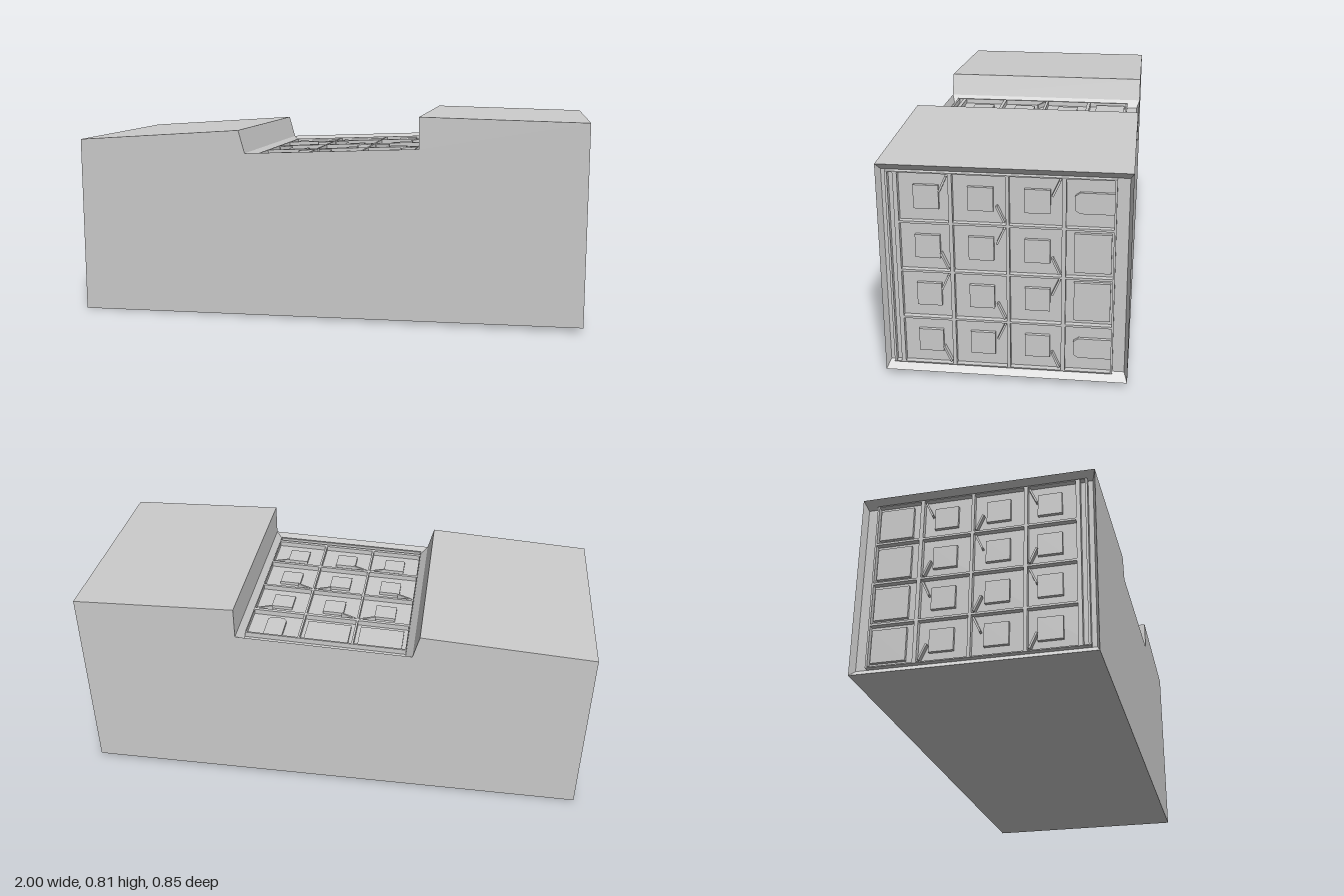
import * as THREE from 'three';

const HALF = 0.425;   // half depth along z
const SINK = 0.03;    // how far the room panels sit below their rims
const grey = new THREE.MeshStandardMaterial({ color: 0xcccccc });
grey.name = 'plain grey';

function add(group, name, geometry) {
  const mesh = new THREE.Mesh(geometry, grey);
  mesh.name = name;
  group.add(mesh);
  return mesh;
}

// Flat quads, corners counter-clockwise seen from outside
function quads(list) {
  const pos = [];
  for (const [a, b, c, d] of list) pos.push(...a, ...b, ...c, ...a, ...c, ...d);
  const g = new THREE.BufferGeometry();
  g.setAttribute('position', new THREE.Float32BufferAttribute(pos, 3));
  g.computeVertexNormals();
  return g;
}

function rect(x0, y0, x1, y1, Type = THREE.Shape) {
  return new Type([[x0, y0], [x1, y0], [x1, y1], [x0, y1]].map(p => new THREE.Vector2(...p)));
}

const extrude = (shape, depth) => new THREE.ExtrudeGeometry(shape, { depth, bevelEnabled: false });

// Outline seen from the front, counter-clockwise
const outline = [
  [-1, 0], [1, 0.017], [1, 0.79], [0.37, 0.805],
  [0.37, 0.683], [-0.315, 0.655], [-0.34, 0.745], [-1, 0.70],
];

// Room rows across the depth, from front to back
const rows = [[0.185, 0.355], [-0.007, 0.172], [-0.193, -0.018], [-0.365, -0.207]];

// Sunken panel of rooms: local x follows the outline, y is world z, z points outward
function roomPanel(name, p, q, count, isTab) {
  const panel = new THREE.Group();
  panel.name = name;
  const dir = new THREE.Vector3(q[0] - p[0], q[1] - p[1], 0);
  const L = dir.length();
  dir.normalize();
  const normal = new THREE.Vector3(dir.y, -dir.x, 0);
  panel.quaternion.setFromRotationMatrix(
    new THREE.Matrix4().makeBasis(dir, new THREE.Vector3(0, 0, 1), normal));
  panel.position.set(p[0], p[1], 0);

  // Sloping rim and floor
  const ix = 0.027, iy = HALF - 0.012;
  const outer = [[0, -HALF, 0], [L, -HALF, 0], [L, HALF, 0], [0, HALF, 0]];
  const inner = [[ix, -iy, -SINK], [L - ix, -iy, -SINK], [L - ix, iy, -SINK], [ix, iy, -SINK]];
  add(panel, 'rim', quads(outer.map((o, i) => [o, outer[(i + 1) % 4], inner[(i + 1) % 4], inner[i]])));
  add(panel, 'floor', quads([inner]));

  // Lattice of walls with a hole per room and a corridor along the front
  const walls = rect(ix, -0.372, L - ix, 0.396);
  const step = (L - 2 * ix) / count;
  walls.holes.push(rect(ix + 0.003, 0.37, L - ix - 0.003, 0.388, THREE.Path));
  for (let c = 0; c < count; c++) {
    const x0 = ix + c * step + 0.004, x1 = ix + (c + 1) * step - 0.004;
    const mid = (x0 + x1) / 2;
    rows.forEach(([y0, y1], r) => {
      walls.holes.push(rect(x0, y0, x1, y1, THREE.Path));
      if (r < 3) {
        // Square block and a door standing ajar
        const yc = y1 - 0.093;
        add(panel, 'squareBlock', extrude(rect(mid - 0.042, yc - 0.043, mid + 0.042, yc + 0.043), 0.012))
          .position.z = -SINK;
        const side = (r + c) % 2 ? 1 : -1;
        const door = add(panel, 'door', new THREE.BoxGeometry(0.062, 0.007, 0.018));
        door.position.set(side > 0 ? x1 - 0.036 : x0 + 0.036, y0 + 0.019, -SINK + 0.009);
        door.rotation.z = -side * 0.42;
      } else if (isTab(c)) {
        // Tab with clipped corners
        const w = 0.037, t = y1 - 0.028;
        const tab = new THREE.Shape([
          [mid - w, y0], [mid + w, y0], [mid + w, t - 0.017], [mid + w - 0.012, t],
          [mid - w + 0.012, t], [mid - w, t - 0.017],
        ].map(v => new THREE.Vector2(...v)));
        add(panel, 'tab', extrude(tab, 0.012)).position.z = -SINK;
      } else {
        add(panel, 'wideBlock', extrude(rect(x0 + 0.015, y0 + 0.006, x1 - 0.015, y1 - 0.028), 0.012))
          .position.z = -SINK;
      }
    });
  }
  add(panel, 'walls', extrude(walls, 0.02)).position.z = -SINK;
  return panel;
}

export function createModel() {
  const model = new THREE.Group();
  model.name = 'buildingBlock';

  // Front and back walls
  const face = pts => new THREE.ShapeGeometry(new THREE.Shape(pts.map(p => new THREE.Vector2(...p))));
  add(model, 'frontWall', face(outline).translate(0, 0, HALF));
  const mirrored = outline.map(([x, y]) => [-x, y]).reverse();
  add(model, 'backWall', face(mirrored).rotateY(Math.PI).translate(0, 0, -HALF));

  // Plain surfaces around the outline, leaving the panel openings free
  const plain = { 0: 'base', 2: 'leftRoof', 3: 'leftStep', 5: 'rightStep', 6: 'rightRoof' };
  for (const [key, name] of Object.entries(plain)) {
    const [a, b] = [outline[+key], outline[+key + 1]];
    add(model, name, quads([[[...a, HALF], [...a, -HALF], [...b, -HALF], [...b, HALF]]]));
  }

  // Room panels on both ends and in the roof notch
  model.add(roomPanel('leftEndRooms', outline[1], outline[2], 4, c => c === 0 || c === 3));
  model.add(roomPanel('roofRooms', outline[4], outline[5], 3, c => c === 0));
  model.add(roomPanel('rightEndRooms', outline[7], outline[0], 4, () => false));
  return model;
}
